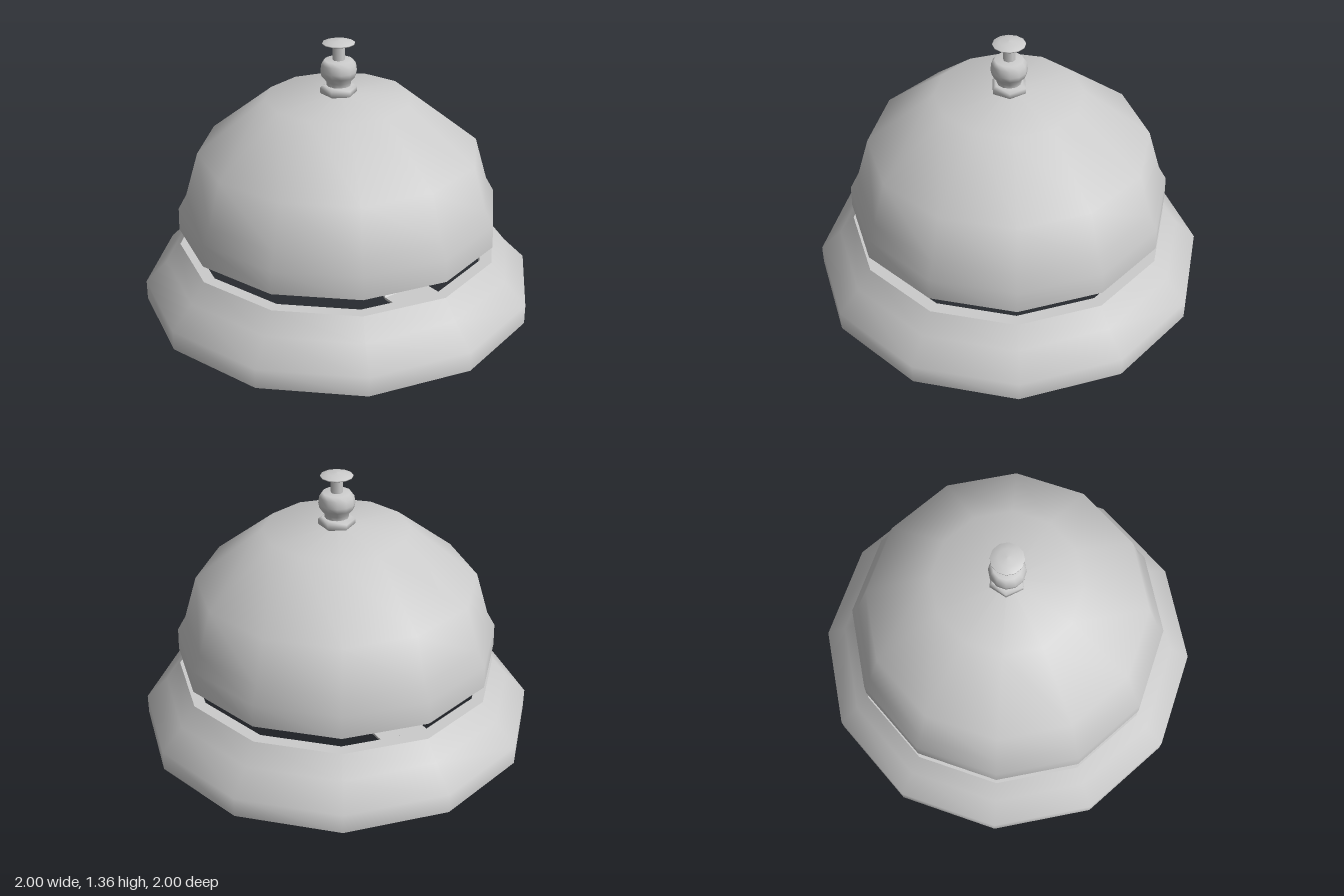
import * as THREE from 'three';

const material = new THREE.MeshStandardMaterial({ color: 0xcccccc, side: THREE.DoubleSide });

// Turned part from [radius, height] pairs
function turned(name, profile, sides = 12, start = 0) {
  const points = profile.map(([r, y]) => new THREE.Vector2(r, y));
  const mesh = new THREE.Mesh(new THREE.LatheGeometry(points, sides, start), material);
  mesh.name = name;
  return mesh;
}

// Flat spring strip: an arch in the xy plane, given thickness and width
function createStrap() {
  const half = [[0.75, 0.2], [0.52, 0.2], [0.4, 0.3], [0.335, 0.345], [0.3, 0.39], [0.17, 0.75], [0.13, 0.78]];
  const path = [...half, ...half.slice().reverse().map(([x, y]) => [-x, y])];
  const t = 0.012;
  const offset = path.map(([x, y], i) => {
    const a = path[Math.max(i - 1, 0)];
    const b = path[Math.min(i + 1, path.length - 1)];
    const dx = b[0] - a[0], dy = b[1] - a[1], l = Math.hypot(dx, dy);
    return [x + (dy / l) * t, y - (dx / l) * t];
  });
  const outline = [...path, ...offset.reverse()].map(([x, y]) => new THREE.Vector2(x, y));
  const geometry = new THREE.ExtrudeGeometry(new THREE.Shape(outline), { depth: 0.24, bevelEnabled: false });
  geometry.translate(0, 0, -0.12);
  const mesh = new THREE.Mesh(geometry, material);
  mesh.name = 'springStrap';
  return mesh;
}

export function createModel() {
  const model = new THREE.Group();
  model.name = 'deskBell';

  // Hollow ring base: outer skin, flat top rim, and underside around the opening
  const base = new THREE.Group();
  base.name = 'base';
  base.add(
    turned('baseSkin', [[1, 0], [1, 0.1], [0.89, 0.21], [0.815, 0.305]]),
    turned('baseTopRim', [[0.815, 0.305], [0.755, 0.305]]),
    turned('baseInnerWall', [[0.755, 0.305], [0.75, 0.2]]),
    turned('baseUnderside', [[0.75, 0.2], [0.86, 0.13], [1, 0]])
  );
  model.add(base);

  // Strap, its two screws, and the post that carries the dome
  model.add(createStrap());
  for (const side of [-1, 1]) {
    const screw = new THREE.Mesh(new THREE.CylinderGeometry(0.025, 0.02, 0.045, 8), material);
    screw.position.set(side * 0.62, 0.19, 0);
    screw.name = side > 0 ? 'leftScrew' : 'rightScrew';
    model.add(screw);
  }
  model.add(turned('post', [[0, 0.76], [0.035, 0.76], [0.035, 1.1]], 8));

  // Bell dome, open below
  model.add(turned('dome', [
    [0.815, 0.39], [0.812, 0.505], [0.77, 0.58], [0.705, 0.8], [0.365, 1.065], [0, 1.088],
  ]));

  // Hexagonal nut, turned collar, plunger stem and push button
  model.add(turned('nut', [
    [0.075, 1.075], [0.092, 1.09], [0.092, 1.115], [0.075, 1.127], [0, 1.127],
  ], 6, Math.PI / 6));
  model.add(turned('collar', [
    [0.06, 1.12], [0.06, 1.145], [0.085, 1.175], [0.09, 1.2], [0.085, 1.235], [0.07, 1.255], [0, 1.255],
  ]));
  model.add(turned('plungerStem', [[0.03, 1.25], [0.03, 1.34]], 8));
  model.add(turned('pushButton', [
    [0, 1.332], [0.08, 1.336], [0.08, 1.341], [0.045, 1.352], [0, 1.356],
  ]));
  return model;
}
